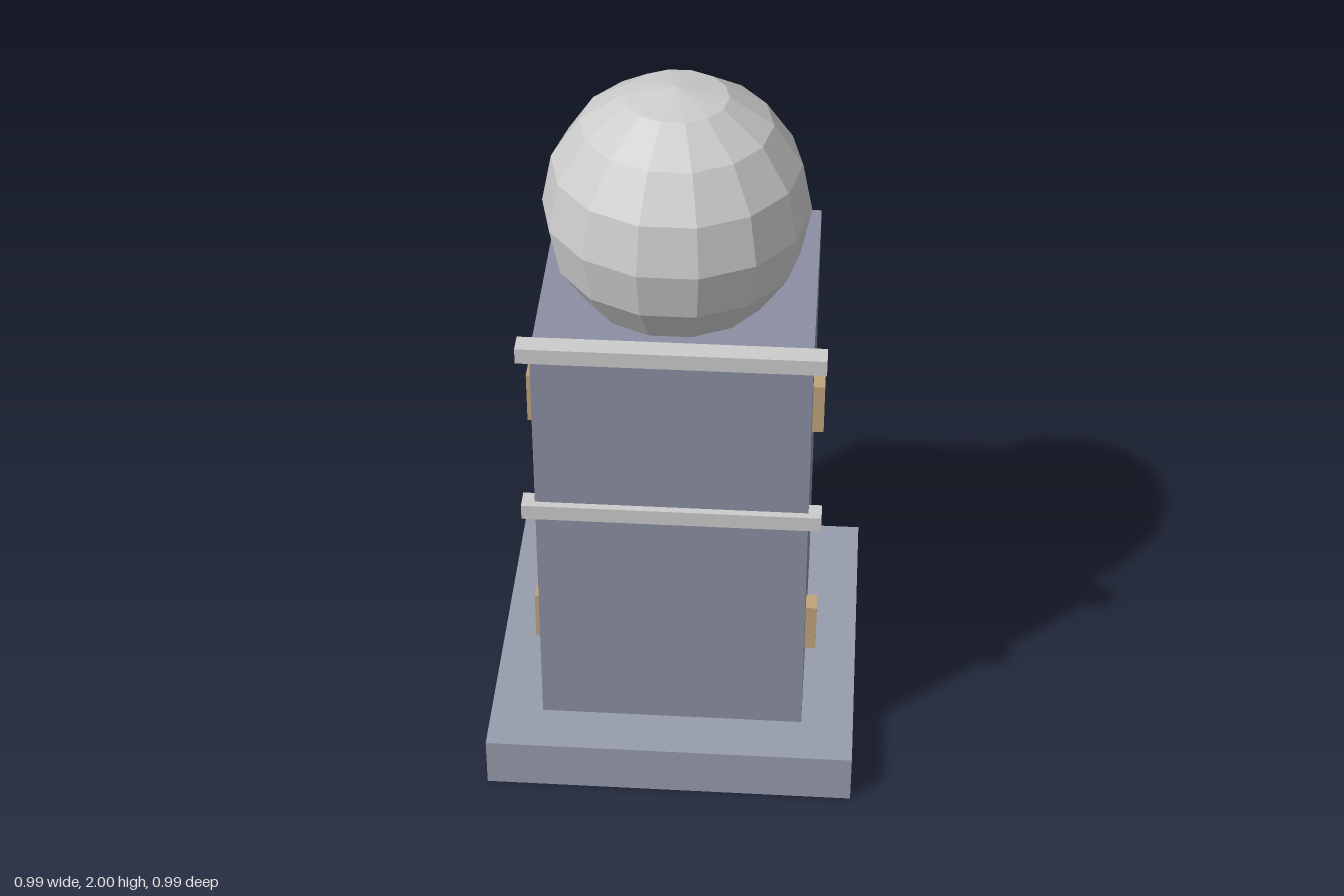
import * as THREE from 'three';

const material = (color) => new THREE.MeshStandardMaterial({ color, flatShading: true });

export function createModel() {
  const model = new THREE.Group();
  model.name = 'pedestalWithBall';

  const baseGrey = material(0x969cab);
  const bodyGrey = material(0x8a8fa2);
  const lightGrey = material(0xcccccc);
  const brass = material(0xbfa47c);

  // Adds a box given its size and centre
  const addBox = (name, mat, [w, h, d], [x, y, z]) => {
    const mesh = new THREE.Mesh(new THREE.BoxGeometry(w, h, d), mat);
    mesh.name = name;
    mesh.position.set(x, y, z);
    model.add(mesh);
  };

  // Plinth and tall cabinet body
  addBox('base', baseGrey, [0.99, 0.142, 0.99], [0, 0.071, 0]);
  addBox('body', bodyGrey, [0.708, 1.203, 0.708], [0, 0.7435, 0]);

  // Horizontal bars across the front, overhanging both sides
  addBox('lowerBar', lightGrey, [0.776, 0.043, 0.055], [0, 0.853, 0.346]);
  addBox('upperBar', lightGrey, [0.776, 0.043, 0.055], [0, 1.35, 0.346]);

  // Two small plates on each side
  for (const side of [-1, 1]) {
    const sideName = side > 0 ? 'left' : 'right';
    addBox(sideName + 'LowerPlate', brass, [0.06, 0.143, 0.055], [side * 0.354, 0.358, 0.184]);
    addBox(sideName + 'UpperPlate', brass, [0.06, 0.143, 0.055], [side * 0.354, 1.102, 0.184]);
  }

  // Faceted ball, set toward the front of the body's top
  const ball = new THREE.Mesh(new THREE.SphereGeometry(0.335, 14, 8), lightGrey);
  ball.name = 'ball';
  ball.position.set(0, 1.665, 0.14);
  model.add(ball);

  return model;
}
